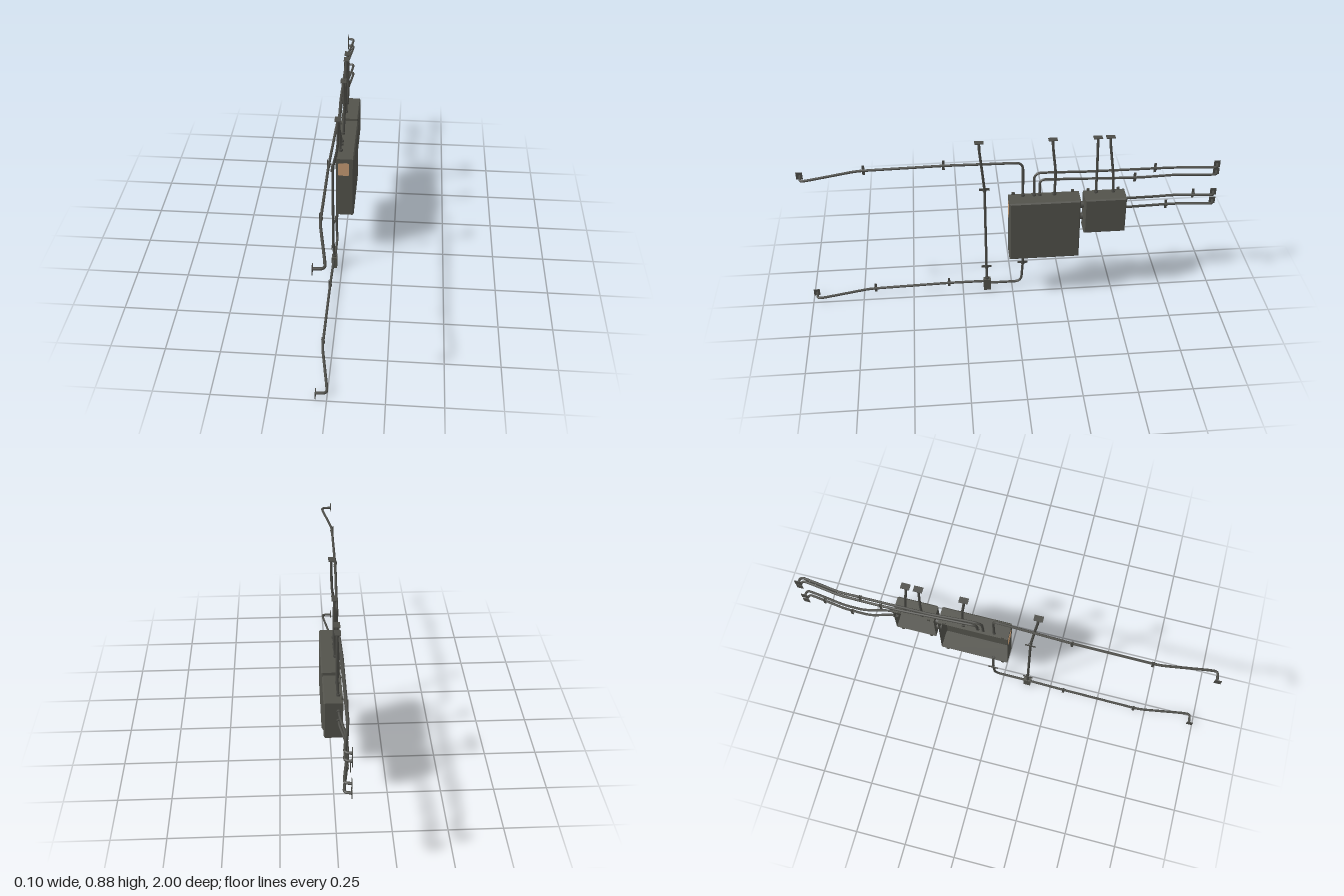
import * as THREE from 'three';

const V = (p) => new THREE.Vector3(...p);

// Straight runs joined by rounded elbows
function bentPath(points, radius) {
  const pts = points.map(V);
  const path = new THREE.CurvePath();
  let from = pts[0];
  for (let i = 1; i < pts.length - 1; i++) {
    const a = pts[i - 1], b = pts[i], c = pts[i + 1];
    const r = Math.min(radius, a.distanceTo(b) * 0.45, b.distanceTo(c) * 0.45);
    const p = b.clone().add(a.clone().sub(b).setLength(r));
    const q = b.clone().add(c.clone().sub(b).setLength(r));
    path.add(new THREE.LineCurve3(from, p));
    path.add(new THREE.QuadraticBezierCurve3(p, b, q));
    from = q;
  }
  path.add(new THREE.LineCurve3(from, pts[pts.length - 1]));
  return path;
}

export function createModel() {
  const model = new THREE.Group();
  const cabinetMat = new THREE.MeshStandardMaterial({ color: 0x52524b, side: THREE.DoubleSide });
  cabinetMat.name = 'cabinet olive grey';
  const pipeMat = new THREE.MeshStandardMaterial({ color: 0x4b4b46, side: THREE.DoubleSide });
  pipeMat.name = 'conduit grey';
  const labelMat = new THREE.MeshStandardMaterial({ color: 0xc49a72, side: THREE.DoubleSide });
  labelMat.name = 'label tan';

  const add = (name, geometry, material, pos = [0, 0, 0], parent = model) => {
    const mesh = new THREE.Mesh(geometry, material);
    mesh.name = name;
    mesh.position.set(...pos);
    parent.add(mesh);
    return mesh;
  };
  const box = (name, size, pos, mat = pipeMat, parent = model) =>
    add(name, new THREE.BoxGeometry(...size), mat, pos, parent);

  // Box without its back, and optionally without its front, along x
  function openBox(w, h, d, keepFront) {
    const g = new THREE.BoxGeometry(w, h, d);
    const idx = Array.from(g.index.array);
    g.setIndex([...(keepFront ? idx.slice(0, 6) : []), ...idx.slice(12)]);
    g.clearGroups();
    return g;
  }

  // Cabinet: open-backed shell with a bevelled lid and wall tabs
  function cabinet(name, x0, x1, y0, y1, z0, z1) {
    const g = new THREE.Group();
    g.name = name;
    model.add(g);
    const bevel = 0.006, h = y1 - y0, d = z1 - z0, y = (y0 + y1) / 2, z = (z0 + z1) / 2;
    const w = x1 - x0 - bevel;
    add('shell', openBox(w, h, d, false), cabinetMat, [x0 + w / 2, y, z], g);
    const lid = openBox(bevel, h, d, true);
    const p = lid.attributes.position;
    for (let i = 0; i < p.count; i++) {
      if (p.getX(i) > 0) {
        p.setY(i, p.getY(i) - Math.sign(p.getY(i)) * bevel);
        p.setZ(i, p.getZ(i) - Math.sign(p.getZ(i)) * bevel);
      }
    }
    lid.computeVertexNormals();
    add('lid', lid, cabinetMat, [x1 - bevel / 2, y, z], g);
    for (const tz of [z0 + 0.03, z1 - 0.025])
      for (const ty of [y0 - 0.004, y1 + 0.004])
        box('wallTab', [0.006, 0.018, 0.014], [x0 + 0.003, ty, tz], cabinetMat, g);
  }
  cabinet('largeCabinet', -0.038, 0.049, 0.243, 0.572, -0.32, 0.02);
  cabinet('smallCabinet', -0.038, 0.047, 0.38, 0.572, -0.54, -0.34);

  // Rounded label, showing on both sides of the end panel
  const sticker = new THREE.Shape();
  const sx = 0.027, sy = 0.035, c = 0.009;
  sticker.moveTo(-sx + c, -sy);
  sticker.lineTo(sx - c, -sy);
  sticker.quadraticCurveTo(sx, -sy, sx, -sy + c);
  sticker.lineTo(sx, sy - c);
  sticker.quadraticCurveTo(sx, sy, sx - c, sy);
  sticker.lineTo(-sx + c, sy);
  sticker.quadraticCurveTo(-sx, sy, -sx, sy - c);
  sticker.lineTo(-sx, -sy + c);
  sticker.quadraticCurveTo(-sx, -sy, -sx + c, -sy);
  add('label', new THREE.ExtrudeGeometry(sticker, { depth: 0.003, bevelEnabled: false, curveSegments: 4 }),
    labelMat, [-0.001, 0.513, 0.0185]);

  // Conduits
  const pipe = (name, points, radius = 0.035) =>
    add(name, new THREE.TubeGeometry(bentPath(points, radius), 160, 0.0062, 8, false), pipeMat);

  pipe('upperFrontConduit', [[-0.05, 0.725, 0.982], [0, 0.725, 0.978], [-0.004, 0.727, 0.94], [-0.043, 0.74, 0.72],
    [-0.043, 0.747, 0.32], [-0.032, 0.75, -0.05], [-0.02, 0.57, -0.05]]);
  pipe('lowerFrontConduit', [[-0.05, 0.027, 0.982], [0, 0.027, 0.978], [-0.004, 0.028, 0.94], [-0.043, 0.035, 0.72],
    [-0.043, 0.045, 0.32], [-0.04, 0.047, 0.13]]);
  pipe('bottomConduit', [[-0.037, 0.037, 0.12], [-0.037, 0.037, -0.045], [-0.043, 0.14, -0.053], [-0.028, 0.25, -0.055]]);
  pipe('tallRiser', [[-0.037, 0.06, 0.128], [-0.043, 0.13, 0.129], [-0.043, 0.6, 0.131], [-0.018, 0.72, 0.142],
    [-0.016, 0.84, 0.154], [-0.016, 0.88, 0.154]]);
  pipe('riser', [[-0.018, 0.57, -0.2], [-0.012, 0.7, -0.203], [-0.014, 0.84, -0.187], [-0.016, 0.88, -0.186]]);
  pipe('riser', [[-0.018, 0.57, -0.4], [-0.022, 0.7, -0.4], [-0.016, 0.84, -0.396], [-0.016, 0.88, -0.395]]);
  pipe('riser', [[-0.018, 0.57, -0.484], [-0.012, 0.68, -0.476], [-0.014, 0.84, -0.455], [-0.016, 0.88, -0.454]]);

  // Rear conduits all end in the same sideways turn into the wall
  const rearEnd = (y) => [[-0.043, y - 0.006, -0.79], [-0.026, y - 0.002, -0.91], [-0.018, y, -0.98], [-0.05, y, -0.986]];
  pipe('rearConduit', [[-0.02, 0.57, -0.103], [-0.034, 0.688, -0.104], [-0.036, 0.687, -0.18],
    [-0.043, 0.677, -0.35], [-0.043, 0.677, -0.68], ...rearEnd(0.682)]);
  pipe('rearConduit', [[-0.02, 0.57, -0.13], [-0.034, 0.65, -0.13], [-0.036, 0.648, -0.19],
    [-0.043, 0.632, -0.5], [-0.043, 0.629, -0.62], ...rearEnd(0.641)]);
  pipe('rearConduit', [[-0.018, 0.53, -0.53], [-0.02, 0.529, -0.57], [-0.043, 0.514, -0.69], ...rearEnd(0.524)]);
  pipe('rearConduit', [[-0.018, 0.479, -0.53], [-0.02, 0.477, -0.57], [-0.043, 0.463, -0.66], ...rearEnd(0.473)]);

  // Junction box on the lower run
  box('junctionBox', [0.026, 0.064, 0.036], [-0.037, 0.033, 0.127], cabinetMat);

  // Wall plates and ceiling plates at the open ends
  for (const [y, z] of [[0.725, 0.985], [0.027, 0.985], [0.682, -0.985], [0.641, -0.985], [0.524, -0.985], [0.473, -0.985]])
    box('wallPlate', [0.003, 0.036, 0.03], [-0.0485, y, z]);
  for (const z of [0.154, -0.186, -0.395, -0.454])
    box('ceilingPlate', [0.028, 0.003, 0.042], [-0.016, 0.8785, z]);

  // Glands where conduits enter the cabinets
  const gland = (x, y, z, alongZ) => {
    const m = add('gland', new THREE.CylinderGeometry(0.0095, 0.0095, 0.014, 8), pipeMat, [x, y, z]);
    if (alongZ) m.rotation.x = Math.PI / 2;
  };
  for (const z of [-0.05, -0.103, -0.13, -0.2, -0.4, -0.484]) gland(-0.019, 0.576, z, false);
  gland(-0.028, 0.24, -0.055, false);
  gland(-0.037, 0.068, 0.128, false);
  for (const y of [0.53, 0.479]) gland(-0.018, y, -0.543, true);

  // Short couplings between the two cabinets
  for (const y of [0.515, 0.448]) {
    const m = add('coupling', new THREE.CylinderGeometry(0.016, 0.016, 0.03, 12), pipeMat, [-0.005, y, -0.33]);
    m.rotation.x = Math.PI / 2;
  }

  // Saddle clips: flat strap on the wall with a half ring over the conduit
  function clip(y, z, vertical) {
    const g = new THREE.Group();
    g.name = 'pipeClip';
    box('strap', [0.003, 0.05, 0.012], [-0.0485, 0, 0], pipeMat, g);
    const arc = new THREE.CylinderGeometry(0.009, 0.009, 0.012, 8, 1, true, 0, Math.PI);
    arc.rotateX(Math.PI / 2);
    arc.rotateZ(Math.PI);
    const saddle = add('saddle', arc, pipeMat, [-0.043, 0, 0], g);
    saddle.rotation.z = Math.PI;
    g.position.set(0, y, z);
    if (vertical) g.rotation.x = Math.PI / 2;
    model.add(g);
  }
  for (const z of [0.69, 0.32]) {
    clip(z > 0.5 ? 0.74 : 0.747, z, false);
    clip(z > 0.5 ? 0.036 : 0.045, z, false);
  }
  for (const [y, z] of [[0.677, -0.685], [0.629, -0.59], [0.52, -0.885], [0.463, -0.755]]) clip(y, z, false);
  for (const [y, z] of [[0.6, 0.131], [0.135, 0.129], [0.15, -0.053]]) clip(y, z, true);

  return model;
}
